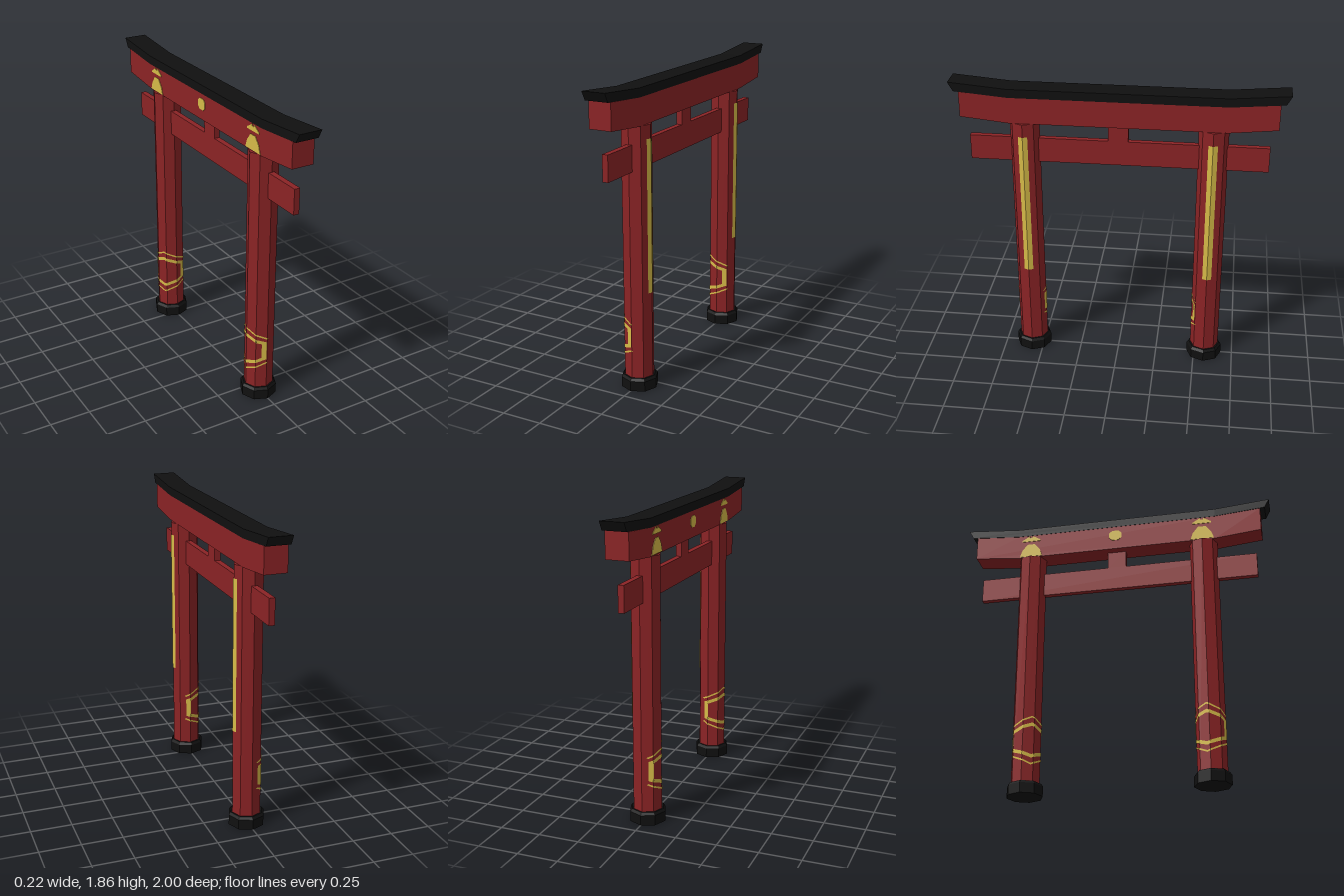
import * as THREE from 'three';

const red = new THREE.MeshStandardMaterial({ color: 0x8b2325, flatShading: true });
red.name = 'red lacquer';
const black = new THREE.MeshStandardMaterial({ color: 0x101010, flatShading: true });
black.name = 'black';
const gold = new THREE.MeshStandardMaterial({ color: 0xd6bb48, flatShading: true, side: THREE.DoubleSide });
gold.name = 'gold';

const PILLAR_Z = 0.565, PILLAR_R = 0.09;
const deg = Math.PI / 180;

function add(parent, name, geometry, material, x = 0, y = 0, z = 0) {
  const mesh = new THREE.Mesh(geometry, material);
  mesh.name = name;
  mesh.position.set(x, y, z);
  parent.add(mesh);
  return mesh;
}

// Side outline given as [z, y] points, extruded along x and centred
function extrudeAcross(points, width) {
  const shape = new THREE.Shape(points.map(([z, y]) => new THREE.Vector2(z, y)));
  const g = new THREE.ExtrudeGeometry(shape, { depth: width, bevelEnabled: false });
  return g.rotateY(-Math.PI / 2).translate(width / 2, 0, 0);
}

// Closes a half outline (z > 0) by mirroring it
const mirrored = half => [...half, ...half.map(([z, y]) => [-z, y]).reverse()];

// Thin skin on the octagonal pillar; rule(u, v) gives [angle in degrees, height]
function pillarSkin(rule, nu, nv) {
  const g = new THREE.PlaneGeometry(1, 1, nu, nv);
  const p = g.attributes.position, uv = g.attributes.uv;
  for (let i = 0; i < p.count; i++) {
    const [angle, y] = rule(uv.getX(i), uv.getY(i));
    const local = ((angle % 45) + 45) % 45 - 22.5;
    const r = (PILLAR_R * Math.cos(22.5 * deg) + 0.003) / Math.cos(local * deg);
    p.setXYZ(i, r * Math.sin(angle * deg), y, r * Math.cos(angle * deg));
  }
  g.computeVertexNormals();
  return g;
}

// Hexagonal ring wrapped round the pillar, optionally without its upright sides
function hexRing(parent, name, centre, halfAngle, sideH, topH, inner, uprights) {
  const c = [[0, topH], [halfAngle, sideH], [halfAngle, -sideH], [0, -topH], [-halfAngle, -sideH], [-halfAngle, sideH]];
  c.forEach((a, i) => {
    if (!uprights && i % 3 === 1) return;
    const b = c[(i + 1) % 6];
    const rule = (u, v) => {
      const k = inner + (1 - inner) * v;
      return [centre + k * (a[0] + (b[0] - a[0]) * u), 0.335 + k * (a[1] + (b[1] - a[1]) * u)];
    };
    add(parent, name, pillarSkin(rule, 40, 6), gold);
  });
}

export function createModel() {
  const gate = new THREE.Group();
  gate.name = 'gate';

  // Pillars with black feet and gold decoration
  for (const s of [1, -1]) {
    const pillar = new THREE.Group();
    pillar.name = s > 0 ? 'frontPillar' : 'backPillar';
    pillar.position.z = s * PILLAR_Z;
    gate.add(pillar);
    add(pillar, 'shaft', new THREE.CylinderGeometry(PILLAR_R, PILLAR_R, 1.55, 8), red, 0, 0.835, 0);
    add(pillar, 'foot', new THREE.CylinderGeometry(0.112, 0.112, 0.062, 8), black, 0, 0.031, 0);
    add(pillar, 'footChamfer', new THREE.CylinderGeometry(0.1, 0.112, 0.016, 8), black, 0, 0.07, 0);
    add(pillar, 'goldStrip', pillarSkin((u, v) => [90 + (u - 0.5) * 38, 0.61 + 0.92 * v], 8, 1), gold);
    const centre = s > 0 ? -100 : -55;
    hexRing(pillar, 'innerHexagon', centre, 98, 0.06, 0.112, 0.8, true);
    hexRing(pillar, 'outerHexagon', centre, 106, 0.085, 0.155, 0.93, false);
  }

  // Lower tie beam and central strut
  add(gate, 'tieBeam', new THREE.BoxGeometry(0.036, 0.155, 1.8), red, 0, 1.4225, 0);
  add(gate, 'strut', new THREE.BoxGeometry(0.036, 0.13, 0.12), red, 0, 1.555, 0);

  // Upper beam and black cap, both turned up at the ends
  const beam = mirrored([[0.65, 1.61], [0.94, 1.64], [0.94, 1.796], [0.65, 1.772]]);
  // mirrored() joins end to end, so order the halves bottom-out-top
  add(gate, 'upperBeam', extrudeAcross(beam, 0.138), red);
  const cap = mirrored([[0.65, 1.772], [0.97, 1.8], [1, 1.855], [0.65, 1.825]]);
  add(gate, 'roofCap', extrudeAcross(cap, 0.142), black);

  // Gold plates on the right face of the upper beam
  const plate = (name, pts, z) => add(gate, name, extrudeAcross(pts, 0.004), gold, -0.07, 0, z);
  plate('centreBadge', mirrored([[0.02, 1.672], [0.04, 1.69], [0.04, 1.725], [0.02, 1.742]]), 0);
  for (const s of [1, -1]) {
    plate('halfHexagon', mirrored([[0.075, 1.615], [0.06, 1.66], [0.025, 1.705]]), s * PILLAR_Z);
    plate('hexagonLine', mirrored([[0.06, 1.728], [0.06, 1.738], [0.01, 1.768], [0.01, 1.756]]), s * PILLAR_Z);
  }
  return gate;
}
